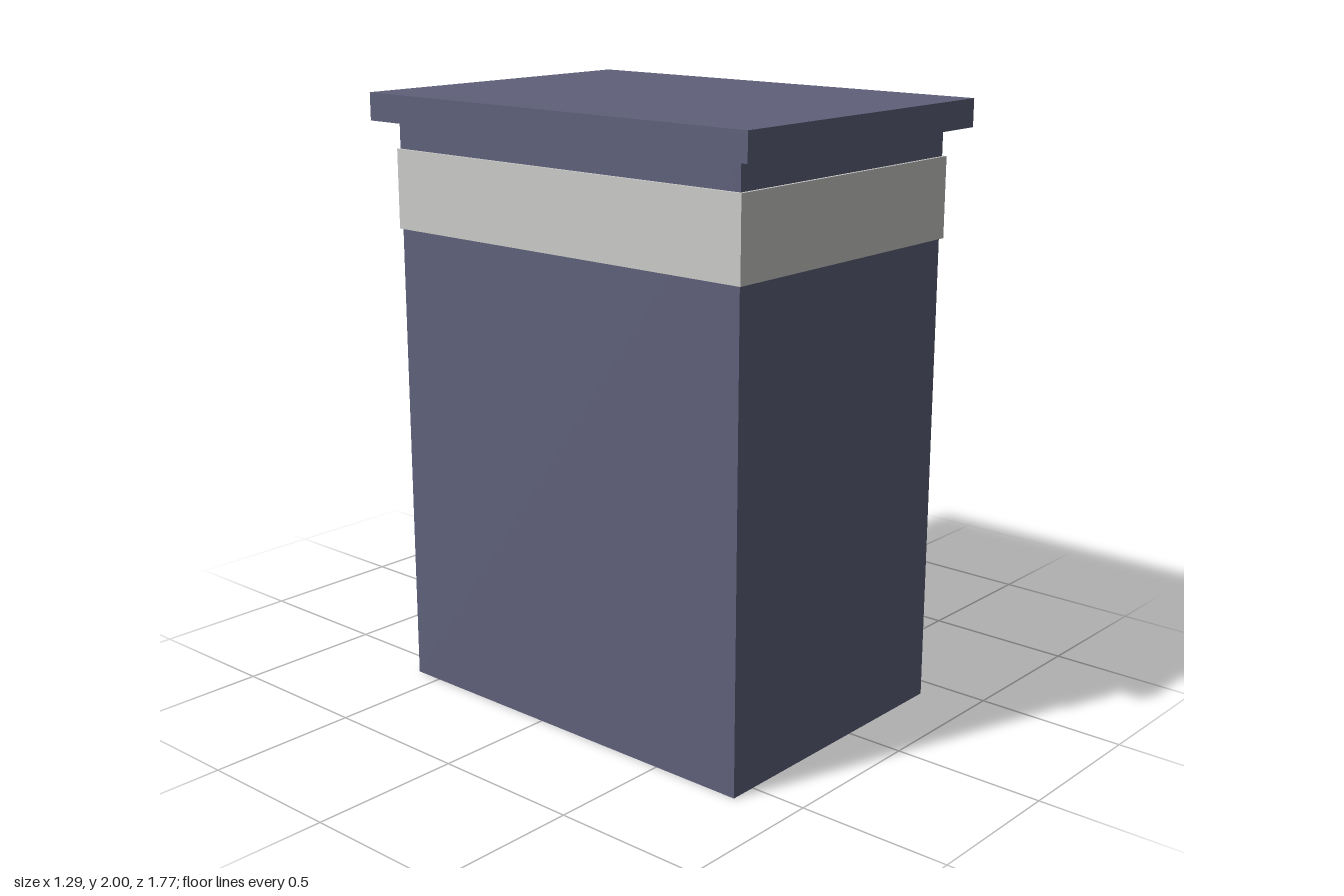
import * as THREE from 'three';

const paint = (name, color, side = THREE.FrontSide) => {
  const m = new THREE.MeshStandardMaterial({ color, flatShading: true, side });
  m.name = name;
  return m;
};

// Bent rod: straight runs with mitred corners
class BentPath extends THREE.Curve {
  constructor(points) { super(); this.points = points; }
  getUtoTmapping(u) { return u; }
  getPoint(t, target = new THREE.Vector3()) {
    const n = this.points.length - 1, i = Math.min(n - 1, Math.floor(t * n + 1e-9));
    return target.lerpVectors(this.points[i], this.points[i + 1], t * n - i);
  }
  getTangent(t, target = new THREE.Vector3()) {
    const p = this.points, n = p.length - 1, k = Math.round(t * n);
    target.set(0, 0, 0);
    if (k > 0) target.add(p[k].clone().sub(p[k - 1]).normalize());
    if (k < n) target.add(p[k + 1].clone().sub(p[k]).normalize());
    return target.normalize();
  }
}

export function createModel() {
  const model = new THREE.Group();
  model.name = 'washingMachineWithLever';

  const bodyPaint = paint('slateBlue', 0x5f617b, THREE.DoubleSide);
  const grey = paint('lightGrey', 0xcbcbca);
  const doorPaint = paint('darkOlive', 0x42433a);
  const black = paint('nearBlack', 0x2d2e28);
  const displayPaint = paint('paleBlue', 0x7c86a6);
  const windowPaint = paint('windowBlue', 0x8a92b2);
  const rodPaint = paint('rodGrey', 0x484846);
  const knobPink = paint('dustyPink', 0x96596b);
  const plum = paint('plum', 0x644869);

  const add = (name, geometry, material, parent = model) => {
    const mesh = new THREE.Mesh(geometry, material);
    mesh.name = name;
    parent.add(mesh);
    return mesh;
  };
  // Box from its limits on each axis
  const box = (name, x0, x1, y0, y1, z0, z1, material, parent) => {
    const g = new THREE.BoxGeometry(x1 - x0, y1 - y0, z1 - z0);
    g.translate((x0 + x1) / 2, (y0 + y1) / 2, (z0 + z1) / 2);
    return add(name, g, material, parent);
  };
  // Cylinder along x
  const disc = (name, x0, x1, y, z, r0, r1, sides, material, parent) => {
    const g = new THREE.CylinderGeometry(r1, r0, x1 - x0, sides);
    g.rotateZ(-Math.PI / 2);
    g.translate((x0 + x1) / 2, y, z);
    return add(name, g, material, parent);
  };

  // Cabinet, open underneath
  const cabinet = box('cabinet', -0.59, 0.41, 0, 1.91, -0.6, 0.81, bodyPaint);
  const index = Array.from(cabinet.geometry.index.array);
  index.splice(18, 6);
  cabinet.geometry.setIndex(index);
  cabinet.geometry.clearGroups();
  box('lid', -0.65, 0.47, 1.91, 2, -0.67, 0.88, bodyPaint);
  disc('innerDrum', -0.3, 0.3, 0.957, 0.12, 0.62, 0.62, 16, bodyPaint);

  // Grey band with a bevelled control panel
  box('band', -0.6, 0.42, 1.56, 1.82, -0.605, 0.82, grey);
  const panel = box('controlPanel', 0.42, 0.45, 1.56, 1.82, -0.605, 0.82, grey);
  const pos = panel.geometry.attributes.position;
  for (let i = 0; i < pos.count; i++) {
    if (pos.getX(i) < 0.44) continue;
    pos.setY(i, pos.getY(i) > 1.7 ? 1.79 : 1.59);
    pos.setZ(i, pos.getZ(i) > 0 ? 0.79 : -0.58);
  }
  box('trimStrip', 0.41, 0.435, 0.3, 0.34, -0.54, 0.75, grey);

  // Door: sixteen-sided oval ring, flat on the hinge side, with a sunken pane
  const oval = (Type, rz, ry) => {
    const points = [];
    for (let i = 1; i < 16; i++) {
      const a = (i * Math.PI) / 8;
      points.push(new THREE.Vector2(rz * Math.cos(a), ry * Math.sin(a)));
    }
    return new Type(points);
  };
  const door = new THREE.Group();
  door.name = 'door';
  door.position.set(0.41, 0.957, 0.12);
  door.rotation.y = Math.PI / 2;
  model.add(door);
  const ring = oval(THREE.Shape, 0.46, 0.485);
  ring.holes.push(oval(THREE.Path, 0.37, 0.39));
  add('doorRing', new THREE.ExtrudeGeometry(ring, { depth: 0.105, bevelEnabled: false }), doorPaint, door);
  const pane = add('doorPane', new THREE.ShapeGeometry(oval(THREE.Shape, 0.37, 0.39)), doorPaint, door);
  pane.position.z = 0.02;

  // Controls
  const controls = new THREE.Group();
  controls.name = 'controls';
  model.add(controls);
  box('switchPlate', 0.44, 0.47, 1.624, 1.757, 0.688, 0.757, black, controls);
  for (const z of [0.688, 0.745]) box('switchSide', 0.47, 0.486, 1.624, 1.757, z, z + 0.012, black, controls);
  for (const y of [1.624, 1.742]) box('switchEnd', 0.47, 0.486, y, y + 0.015, 0.688, 0.757, black, controls);
  box('switchRocker', 0.47, 0.48, 1.645, 1.69, 0.705, 0.74, black, controls);
  disc('dial', 0.44, 0.475, 1.69, 0.372, 0.07, 0.066, 14, black, controls);
  const pointer = add('dialPointer', new THREE.BoxGeometry(0.025, 0.035, 0.12), black, controls);
  pointer.position.set(0.485, 1.7, 0.345);
  pointer.rotation.x = 0.65;
  for (const y of [1.652, 1.725])
    for (const z of [0.02, 0.09]) disc('button', 0.44, 0.465, y, z, 0.018, 0.015, 8, black, controls);

  // Display with three framed windows
  const display = new THREE.Group();
  display.name = 'display';
  model.add(display);
  box('displayBase', 0.44, 0.475, 1.614, 1.767, -0.57, -0.185, displayPaint, display);
  for (const y of [1.614, 1.737]) box('displayRail', 0.475, 0.492, y, y + 0.03, -0.57, -0.185, displayPaint, display);
  for (const z of [-0.57, -0.453, -0.332, -0.21])
    box('displayPost', 0.475, 0.492, 1.644, 1.737, z, z + 0.025, displayPaint, display);
  for (const z of [-0.499, -0.38, -0.258])
    box('displayWindow', 0.475, 0.48, 1.645, 1.736, z - 0.046, z + 0.046, windowPaint, display);

  // Pull lever with domed hinge plate
  const lever = new THREE.Group();
  lever.name = 'lever';
  model.add(lever);
  const profile = [[0.175, 0], [0.175, 0.008], [0.1, 0.014], [0.06, 0.03], [0, 0.036]];
  const hinge = add('hingePlate',
    new THREE.LatheGeometry(profile.map(([r, h]) => new THREE.Vector2(r, h)), 20), plum, lever);
  hinge.rotation.x = -Math.PI / 2;
  hinge.position.set(-0.1, 0.957, -0.6);
  const path = new BentPath([
    [-0.11, 0.957, -0.6], [-0.1, 0.96, -0.68], [-0.05, 1.02, -0.78], [0.04, 1.13, -0.806], [0.56, 1.69, -0.806],
  ].map((p) => new THREE.Vector3(...p)));
  add('leverRod', new THREE.TubeGeometry(path, 4, 0.024, 8), rodPaint, lever);
  add('leverBall', new THREE.IcosahedronGeometry(0.083, 1), knobPink, lever).position.set(0.562, 1.69, -0.806);

  return model;
}
